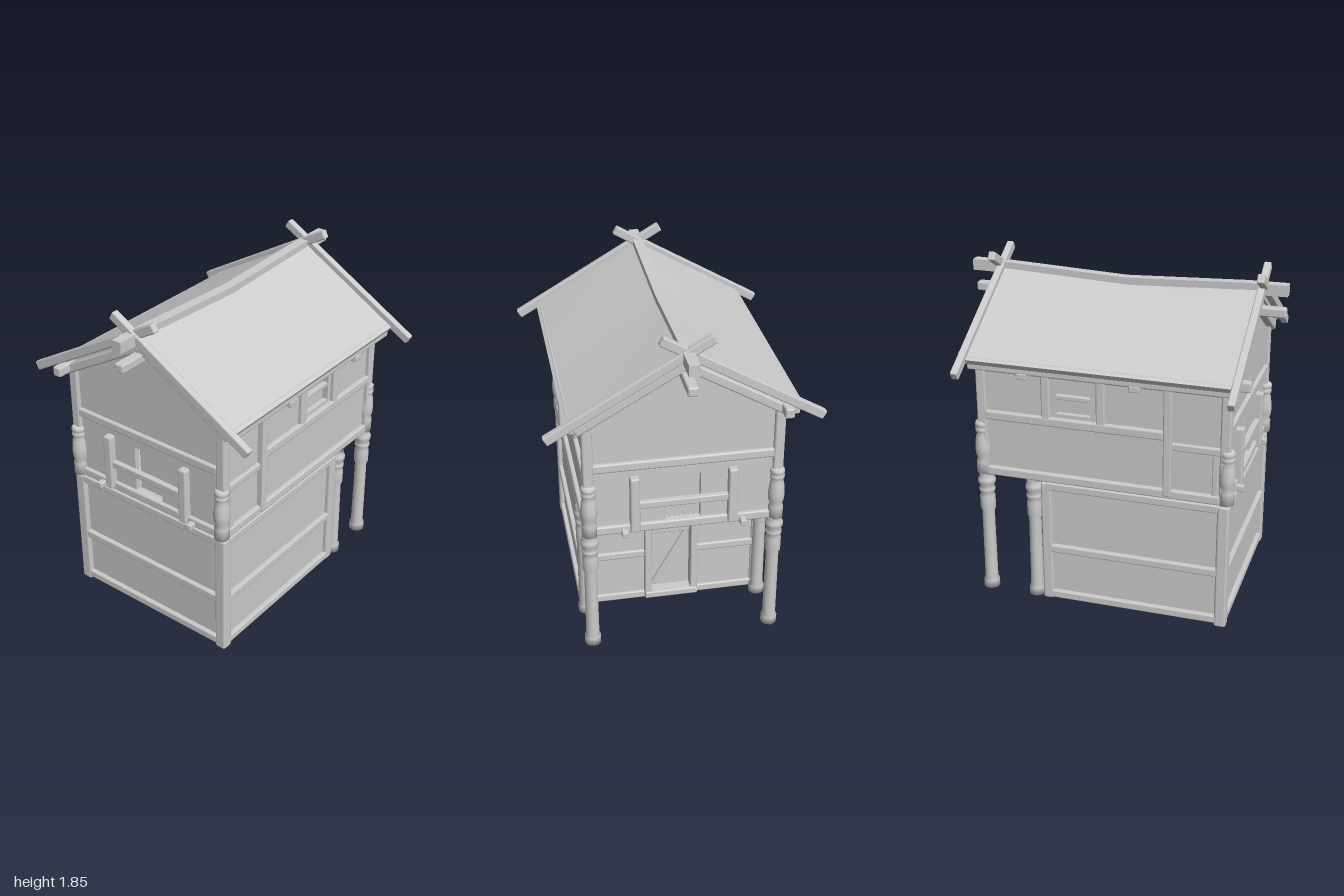
import * as THREE from 'three';
import { RoundedBoxGeometry } from 'three/addons/geometries/RoundedBoxGeometry.js';

const HALF_W = 0.49, HALF_L = 0.66, BACK = -0.31; // wall lines; BACK is the recessed ground floor wall
const FLOOR = 0.72, PITCH = Math.atan(0.58), RIDGE = 1.75;

export function createModel() {
  const model = new THREE.Group();
  const house = new THREE.Group();
  house.name = 'house';
  house.rotation.y = -Math.PI / 6; // the house stands turned on its plot
  model.add(house);
  const mat = new THREE.MeshStandardMaterial({ color: 0xcccccc, side: THREE.DoubleSide });

  const add = (name, geo, x, y, z, rz = 0) => {
    const m = new THREE.Mesh(geo, mat);
    m.name = name;
    m.position.set(x, y, z);
    m.rotation.z = rz;
    house.add(m);
    return m;
  };
  // timber with slightly softened edges
  const beam = (name, w, h, d, x, y, z, rz = 0) =>
    add(name, new RoundedBoxGeometry(w, h, d, 1, Math.min(w, h, d) * 0.2), x, y, z, rz);
  // timber given by its ends on the vertical axis
  const post = (name, w, d, x, y0, y1, z) => beam(name, w, y1 - y0, d, x, (y0 + y1) / 2, z);
  // timber along the house given by its ends
  const rail = (name, w, h, x, y, z0, z1) => beam(name, w, h, Math.abs(z1 - z0), x, y, (z0 + z1) / 2);

  // flat wall from an outline, with optional rectangular openings [x0, y0, x1, y1]
  const rect = (x0, y0, x1, y1) => [[x0, y0], [x1, y0], [x1, y1], [x0, y1]].map(p => new THREE.Vector2(...p));
  const wall = (name, pts, holes = [], t = 0.03) => {
    const s = new THREE.Shape(pts);
    holes.forEach(h => s.holes.push(new THREE.Path(rect(...h))));
    const g = new THREE.ExtrudeGeometry(s, { depth: t, bevelEnabled: false }).translate(0, 0, -t / 2);
    return add(name, g, 0, 0, 0);
  };

  // ---- ground floor, open underneath ----
  wall('lowerFrontWall', rect(-0.48, 0.02, 0.48, FLOOR)).position.z = HALF_L - 0.01;
  wall('lowerBackWall', rect(-0.48, 0.02, 0.48, FLOOR), [[-0.11, 0.06, 0.11, 0.51]]).position.z = BACK;
  for (const [y, h] of [[0.04, 0.045], [0.325, 0.045], [0.7, 0.045]]) {
    beam('lowerFrontRail', 0.94, h, 0.06, 0, y, HALF_L);
    for (const s of [-1, 1]) {
      rail('lowerSideRail', 0.06, h, s * HALF_W, y, BACK, HALF_L);
      if (y === 0.325) beam('lowerBackRail', 0.34, h, 0.06, s * 0.3, y, BACK);
    }
    if (y !== 0.325) beam('lowerBackRail', 0.94, h, 0.06, 0, y, BACK);
  }
  for (const s of [-1, 1]) {
    const side = wall('lowerSideWall', rect(BACK, 0.02, HALF_L, FLOOR));
    side.rotation.y = -Math.PI / 2;
    side.position.x = s * (HALF_W - 0.01);
    post('lowerFrontPost', 0.065, 0.065, s * HALF_W, 0, FLOOR, HALF_L);
    post('lowerBackPost', 0.06, 0.06, s * HALF_W, 0.01, FLOOR, BACK);
  }

  // door with frame and diagonal brace
  beam('doorPanel', 0.23, 0.46, 0.015, 0, 0.285, BACK + 0.025);
  beam('doorBrace', 0.025, 0.4, 0.02, 0, 0.26, BACK + 0.012, 0.5);
  beam('doorCrossbar', 0.22, 0.035, 0.025, 0, 0.45, BACK + 0.01);
  beam('doorLintel', 0.38, 0.05, 0.08, 0, 0.535, BACK - 0.02);
  beam('doorSill', 0.3, 0.04, 0.08, 0, 0.05, BACK - 0.02);
  for (const s of [-1, 1]) post('doorPost', 0.04, 0.06, s * 0.13, 0.05, 0.52, BACK - 0.02);

  // ---- turned columns under the overhang ----
  const column = new THREE.LatheGeometry([
    [0, 0.02], [0.044, 0.02], [0.044, 0.065], [0.036, 0.07], [0.034, 0.5], [0.042, 0.51], [0.042, 0.59],
    [0.034, 0.6], [0.044, 0.62], [0.044, 0.635], [0.036, 0.645], [0.048, 0.67], [0.048, 0.69], [0.04, 0.7], [0.04, FLOOR],
  ].map(p => new THREE.Vector2(...p)), 14);
  const knob = new THREE.LatheGeometry([
    [0, 0.73], [0.04, 0.73], [0.04, 0.8], [0.032, 0.81], [0.042, 0.84], [0.044, 0.88], [0.038, 0.94], [0.03, 0.965],
    [0.039, 0.972], [0.039, 0.99], [0.031, 0.995], [0.039, 1.002], [0.039, 1.02], [0.03, 1.03], [0, 1.035],
  ].map(p => new THREE.Vector2(...p)), 14);
  for (const s of [-1, 1])
    for (const z of [-HALF_L, -0.385]) add('column', column, s * HALF_W, 0, z);

  // ---- upper floor ----
  add('upperFloor', new THREE.BoxGeometry(0.98, 0.025, 1.32), 0, 0.735, 0);
  const gable = [[-0.48, FLOOR], [0.48, FLOOR], [0.48, 1.43], [0, 1.71], [-0.48, 1.43]].map(p => new THREE.Vector2(...p));
  for (const e of [-1, 1]) {
    const z = e * HALF_L;
    wall('gableWall', gable, [[-0.09, 0.77, 0.09, 1.04]]).position.z = z - e * 0.01;
    beam('gableWindowPane', 0.2, 0.29, 0.012, 0, 0.905, z - e * 0.05);
    beam('gableRail', 0.94, 0.05, 0.05, 0, 1.125, z);
    beam('gableBottomBeam', 0.94, 0.05, 0.05, 0, 0.75, z);
    beam('balustradeRail', 0.5, 0.04, 0.035, 0, 0.89, z + e * 0.015);
    for (const s of [-1, 1]) {
      post('balustradePost', 0.05, 0.05, s * 0.255, 0.735, 1.06, z + e * 0.02);
      beam('gablePeg', 0.035, 0.035, 0.09, s * 0.31, 0.74, z + e * 0.02);
      post('upperCornerPost', 0.055, 0.055, s * HALF_W, FLOOR, 1.42, z);
      add('cornerKnob', knob, s * HALF_W, 0, z + e * 0.01);
    }
  }

  // long sides
  for (const s of [-1, 1]) {
    const x = s * HALF_W;
    const side = wall('upperSideWall', rect(-0.65, FLOOR, 0.65, 1.42), [[-0.25, 1.12, -0.06, 1.3]]);
    side.rotation.y = -Math.PI / 2;
    side.position.x = s * (HALF_W - 0.01);
    rail('sideWindowPane', 0.012, 0.2, s * 0.45, 1.21, -0.26, -0.05);
    rail('sideWindowBar', 0.03, 0.025, s * 0.475, 1.21, -0.27, -0.03);
    rail('sideBottomBeam', 0.06, 0.05, x, 0.75, -0.64, 0.64);
    rail('sideMiddleBeam', 0.06, 0.05, x, 1.075, -0.64, 0.36);
    rail('frontPanelRail', 0.05, 0.04, x, 1.02, 0.36, 0.64);
    rail('sideTopRail', 0.055, 0.05, x, 1.345, -0.64, 0.64);
    post('sideTallPost', 0.06, 0.045, s * 0.5, 0.74, 1.34, 0.36);
    for (const z of [0, -0.3]) post('windowPost', 0.055, 0.05, x, 1.07, 1.34, z);
    post('panelPost', 0.04, 0.03, x, 0.75, 1.03, 0.61);
    for (const z of [0.2, -0.4]) beam('eaveBlock', 0.09, 0.035, 0.06, s * 0.54, 1.34, z);
  }

  // ---- roof ----
  // lowers the middle of the ridge a little, fading out towards the eaves
  const sag = (geo, fade) => {
    const p = geo.attributes.position;
    for (let i = 0; i < p.count; i++) {
      const k = 1 - Math.min(1, Math.abs(p.getZ(i)) / 0.7);
      p.setY(i, p.getY(i) - 0.03 * k * fade(p.getX(i)));
    }
    geo.computeVertexNormals();
    return geo;
  };
  const len = 0.59 / Math.cos(PITCH);
  for (const s of [-1, 1]) {
    const slope = sag(new THREE.BoxGeometry(len, 0.03, 1.41, 4, 1, 6), x => 0.5 - s * x / len);
    add('roofSlope', slope, s * 0.295, RIDGE - 0.015 - 0.295 * 0.58, 0, -s * PITCH);
    rail('eaveFascia', 0.045, 0.07, s * 0.56, 1.385, -0.7, 0.7);
    for (const e of [-1, 1]) {
      // barge boards cross above the ridge: from 0.70 out on one side to 0.13 past the middle
      beam('bargeBoard', 0.83 / Math.cos(PITCH), 0.05, 0.04, s * 0.285, 1.755 - 0.285 * 0.58, e * (0.725 + s * 0.006), -s * PITCH);
      beam('gableRafter', 0.55 / Math.cos(PITCH), 0.05, 0.06, s * 0.275, 1.675 - 0.275 * 0.58, e * 0.675, -s * PITCH);
    }
  }
  add('ridgeBeam', sag(new THREE.BoxGeometry(0.055, 0.06, 1.74, 1, 1, 8), () => 1), 0, 1.742, -0.015);
  rail('lowerRidgeBeam', 0.055, 0.05, 0, 1.62, -0.87, 0.85);
  rail('leftPurlin', 0.05, 0.055, -0.51, 1.395, -0.77, 0.78);

  return model;
}
